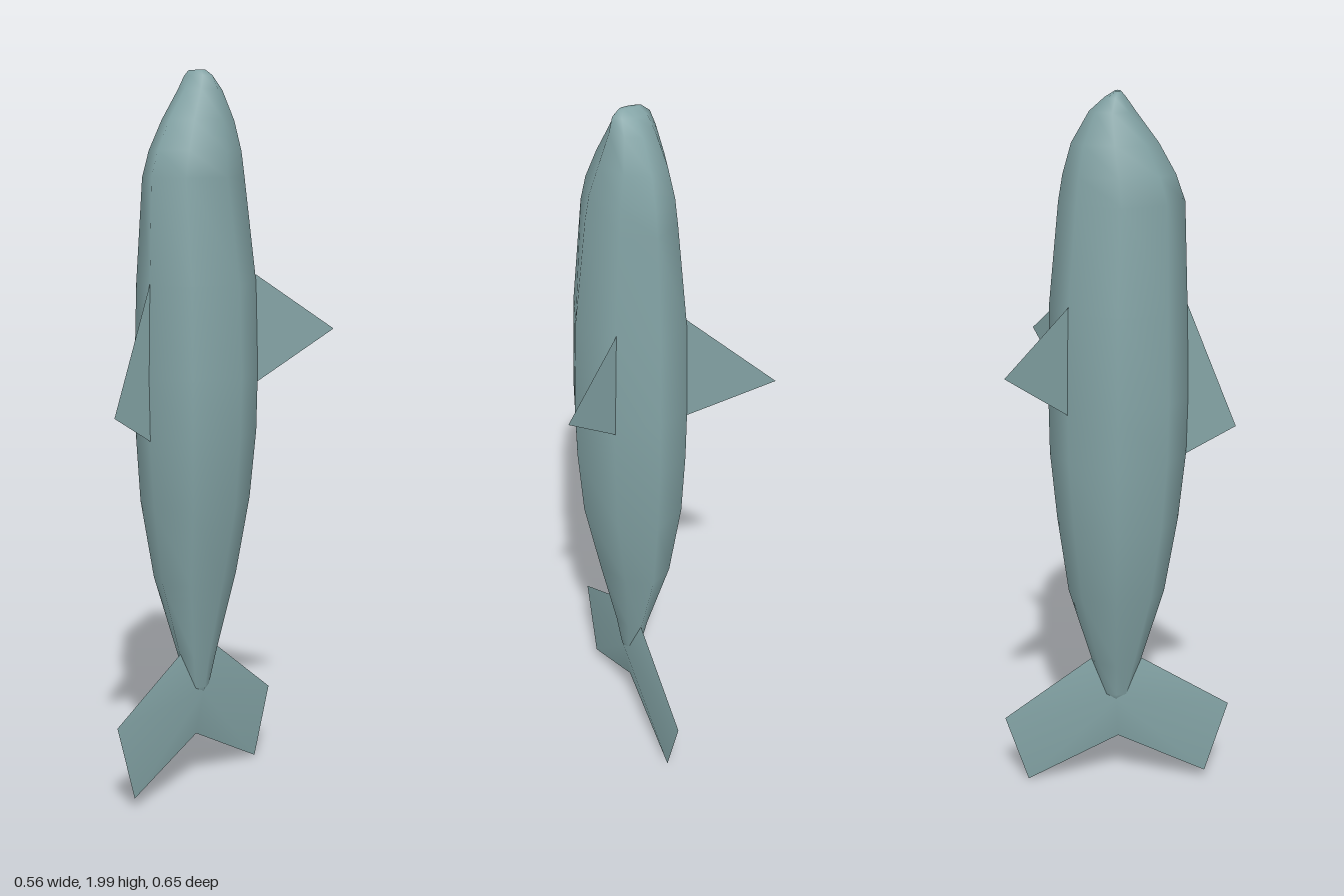
import * as THREE from 'three';

// Body rings from nose to tail: [y, centre x, half width, front z, back z]
const RINGS = [
  [2.0, -0.004, 0.03, 0.012, -0.005],
  [1.985, -0.004, 0.05, 0.025, -0.03],
  [1.95, -0.004, 0.062, 0.05, -0.07],
  [1.87, -0.005, 0.088, 0.11, -0.117],
  [1.79, -0.005, 0.11, 0.155, -0.14],
  [1.72, -0.005, 0.119, 0.18, -0.152],
  [1.44, -0.003, 0.152, 0.19, -0.18],
  [1.19, -0.003, 0.16, 0.195, -0.185],
  [1.03, -0.004, 0.157, 0.192, -0.183],
  [0.84, -0.009, 0.146, 0.172, -0.165],
  [0.62, -0.013, 0.104, 0.135, -0.135],
  [0.4, -0.006, 0.047, 0.07, -0.07],
  [0.3, -0.005, 0.029, 0.04, -0.04],
  [0.275, -0.005, 0.02, 0.02, -0.022],
];
const SIDES = 8;

function makeGeometry(positions, index) {
  const g = new THREE.BufferGeometry();
  g.setAttribute('position', new THREE.Float32BufferAttribute(positions, 3));
  g.setIndex(index);
  g.computeVertexNormals();
  return g;
}

// Eight-sided loops joined into a smooth closed hull
function bodyGeometry() {
  const pos = [], idx = [];
  for (const [y, cx, w, front, back] of RINGS) {
    const cz = (front + back) / 2, d = (front - back) / 2;
    for (let j = 0; j < SIDES; j++) {
      const a = (j / SIDES) * Math.PI * 2;
      const diagonal = j % 2 ? 0.94 : 1;
      pos.push(cx + w * Math.sin(a) * diagonal, y, cz + d * Math.cos(a));
    }
  }
  const last = RINGS.length - 1;
  for (let i = 0; i < last; i++) {
    for (let j = 0; j < SIDES; j++) {
      const k = (j + 1) % SIDES;
      const a = i * SIDES + j, d = i * SIDES + k;
      idx.push(a, a + SIDES, d + SIDES, a, d + SIDES, d);
    }
  }
  // Nose and tail caps
  const nose = pos.length / 3, stern = nose + 1;
  pos.push(-0.004, 2.0, 0.004, -0.005, 0.272, 0);
  for (let j = 0; j < SIDES; j++) {
    const k = (j + 1) % SIDES;
    idx.push(nose, j, k, stern, last * SIDES + k, last * SIDES + j);
  }
  return makeGeometry(pos, idx);
}

// Tail lobes swell towards a ridge on each side of the root
function tailGeometry(side) {
  const x = -0.005;
  const pos = [
    x + side * 0.024, 0.285, 0,
    x, 0.41, 0.065, x, 0.26, 0.325, x, 0.04, 0.26, x, 0.155, 0.005,
    x, 0.01, -0.26, x, 0.21, -0.325, x, 0.41, -0.065,
  ];
  const idx = [];
  for (let i = 1; i < 7; i++) {
    if (side > 0) idx.push(0, i, i + 1);
    else idx.push(0, i + 1, i);
  }
  return makeGeometry(pos, idx);
}

export function createModel() {
  const group = new THREE.Group();
  const skin = new THREE.MeshStandardMaterial({ color: 0x83a3a5 });
  skin.name = 'greyTealSkin';
  skin.side = THREE.DoubleSide;

  const add = (name, geometry) => {
    const mesh = new THREE.Mesh(geometry, skin);
    mesh.name = name;
    group.add(mesh);
  };

  add('body', bodyGeometry());

  // Thin triangular fins, with roots just inside the hull
  const fin = (name, ...points) => add(name, makeGeometry(points.flat(), [0, 1, 2]));
  fin('dorsalFin', [-0.003, 1.47, 0.18], [-0.003, 1.105, 0.327], [-0.003, 1.02, 0.18]);
  fin('leftFin', [0.095, 1.46, -0.127], [0.095, 1.16, -0.127], [0.278, 1.315, -0.24]);
  fin('rightFin', [-0.1, 1.46, -0.123], [-0.283, 1.315, -0.282], [-0.1, 1.16, -0.123]);

  for (const side of [1, -1]) add(side > 0 ? 'tailFinLeftFace' : 'tailFinRightFace', tailGeometry(side));

  return group;
}
